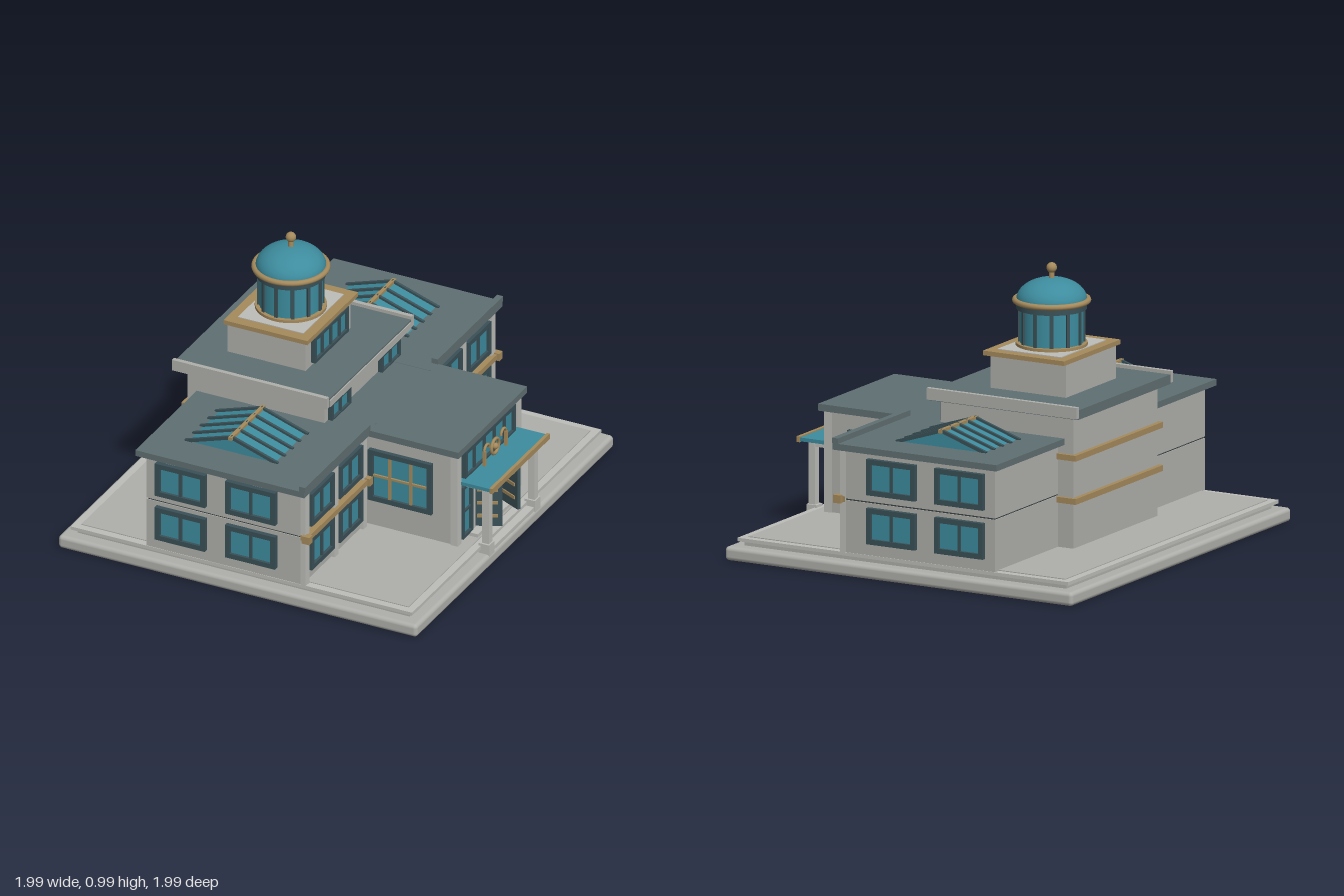
import * as THREE from 'three';
import { RoundedBoxGeometry } from 'three/addons/geometries/RoundedBoxGeometry.js';

const mat = (name, color, side = THREE.FrontSide) => {
  const m = new THREE.MeshStandardMaterial({ color, side });
  m.name = name;
  return m;
};

export function createModel() {
  const stone = mat('stone', 0xafafab);
  const pale = mat('pale stone', 0xbdbdb9);
  const roof = mat('slate roof', 0x5f6f71);
  const glass = mat('teal glass', 0x3d8c9e, THREE.DoubleSide);
  const frame = mat('dark frame', 0x3a5157);
  const gold = mat('gold trim', 0xa58a5c);
  const dark = mat('dark interior', 0x3a4345);

  const model = new THREE.Group();
  model.name = 'domedHall';
  const house = new THREE.Group();
  house.name = 'building';
  house.rotation.y = Math.PI / 4;
  model.add(house);

  const add = (parent, name, geo, m, x = 0, y = 0, z = 0) => {
    const mesh = new THREE.Mesh(geo, m);
    mesh.name = name;
    mesh.position.set(x, y, z);
    parent.add(mesh);
    return mesh;
  };
  // box given by its extents on each axis
  const box = (name, m, x0, x1, y0, y1, z0, z1, parent = house) =>
    add(parent, name, new THREE.BoxGeometry(x1 - x0, y1 - y0, z1 - z0), m, (x0 + x1) / 2, (y0 + y1) / 2, (z0 + z1) / 2);

  // framed window facing its own +z
  function windowUnit(name, x, y, z, w, h, { turn = 0, cols = 2, rows = 1, bar = frame, t = 0.018 } = {}) {
    const g = new THREE.Group();
    g.name = name;
    g.position.set(x, y, z);
    g.rotation.y = turn;
    house.add(g);
    const a = w / 2, b = h / 2;
    const s = new THREE.Shape([[-a, -b], [a, -b], [a, b], [-a, b]].map(p => new THREE.Vector2(...p)));
    s.holes.push(new THREE.Path([[-a + t, -b + t], [-a + t, b - t], [a - t, b - t], [a - t, -b + t]].map(p => new THREE.Vector2(...p))));
    add(g, 'windowFrame', new THREE.ExtrudeGeometry(s, { depth: 0.018, bevelEnabled: false }), frame, 0, 0, -0.003);
    box('windowPane', glass, -a + t / 2, a - t / 2, -b + t / 2, b - t / 2, -0.002, 0.005, g);
    for (let i = 1; i < cols; i++) {
      const c = -a + w * i / cols;
      box('mullion', bar, c - 0.005, c + 0.005, -b + t, b - t, 0, 0.013, g);
    }
    for (let i = 1; i < rows; i++) {
      const c = -b + h * i / rows;
      box('transomBar', bar, -a + t, a - t, c - 0.004, c + 0.004, 0, 0.012, g);
    }
    return g;
  }

  // stepped plinth
  add(house, 'baseSlab', new RoundedBoxGeometry(1.468, 0.048, 1.36, 3, 0.014), stone, 0, 0.024, 0);
  box('plinth', stone, -0.685, 0.685, 0.04, 0.064, -0.63, 0.63);
  box('plinthLip', pale, -0.702, 0.702, 0.064, 0.076, -0.647, 0.647);
  box('terrace', stone, -0.675, 0.675, 0.07, 0.079, -0.62, 0.62);

  // wings, mirrored left and right
  for (const s of [-1, 1]) {
    const span = (name, m, a, b, ...r) => box(name, m, Math.min(s * a, s * b), Math.max(s * a, s * b), ...r);
    span('wingLowerWall', stone, 0.2, 0.7, 0.07, 0.257, -0.36, 0.232);
    span('wingSeam', dark, 0.2, 0.697, 0.257, 0.262, -0.357, 0.229);
    span('wingUpperWall', stone, 0.2, 0.7, 0.262, 0.437, -0.36, 0.232);
    span('wingRoof', roof, 0.2, 0.735, 0.435, 0.457, -0.385, 0.255);
    span('wingParapet', roof, 0.25, 0.735, 0.457, 0.476, 0.235, 0.258);
    for (const x of [0.262, 0.475, 0.69])
      span('wingPilaster', pale, x - 0.014, x + 0.014, 0.07, 0.436, 0.225, 0.245);
    span('wingGoldBand', gold, 0.25, 0.705, 0.25, 0.27, 0.225, 0.256);
    for (const x of [0.255, 0.705])
      span('bandEnd', gold, x - 0.012, x + 0.012, 0.246, 0.274, 0.235, 0.265);
    for (const [y, h] of [[0.18, 0.125], [0.35, 0.125]]) {
      for (const x of [0.37, 0.58]) windowUnit('wingFrontWindow', s * x, y, 0.234, 0.17, h);
      for (const z of [-0.226, 0.04])
        windowUnit('wingSideWindow', s * 0.702, y, z, 0.19, h, { turn: s * Math.PI / 2 });
    }

    // gabled skylight
    const sky = new THREE.Group();
    sky.name = 'skylight';
    sky.position.set(s * 0.485, 0.455, -0.09);
    house.add(sky);
    const tri = new THREE.Shape([new THREE.Vector2(-0.17, 0), new THREE.Vector2(0.17, 0), new THREE.Vector2(0, 0.056)]);
    const g = new THREE.ExtrudeGeometry(tri, { depth: 0.225, bevelEnabled: false });
    g.translate(0, 0, -0.1125).rotateY(Math.PI / 2);
    add(sky, 'skylightGlass', g, glass);
    const slope = Math.atan2(0.056, 0.17);
    for (let i = 0; i < 5; i++)
      for (const d of [-1, 1]) {
        const bar = box('skylightBar', frame, -0.005, 0.005, -0.006, 0.006, -0.094, 0.094, sky);
        bar.position.set(-0.112 + i * 0.056, 0.03, d * 0.086);
        bar.rotation.x = d * slope;
      }
    box('skylightRidge', gold, -0.125, 0.125, 0.052, 0.064, -0.007, 0.007, sky);
  }

  // tall central block
  box('centreWall', stone, -0.28, 0.28, 0.07, 0.54, -0.42, 0.1);
  box('centreRoof', roof, -0.31, 0.31, 0.535, 0.568, -0.455, 0.128);
  for (const s of [-1, 1]) {
    box('centreParapet', stone, s * 0.315 - 0.008, s * 0.315 + 0.008, 0.54, 0.58, -0.457, 0.13);
    windowUnit('clerestoryWindow', s * 0.185, 0.488, 0.102, 0.14, 0.075, { t: 0.012 });
  }
  box('centreFrontEave', stone, -0.3, 0.3, 0.537, 0.562, 0.115, 0.132);
  for (const y of [0.235, 0.385]) box('rearGoldBand', gold, -0.292, 0.292, y, y + 0.02, -0.436, -0.3);

  // cupola base
  box('cupolaBase', stone, -0.167, 0.167, 0.565, 0.69, -0.325, -0.03);
  windowUnit('cupolaWindow', 0, 0.628, -0.029, 0.25, 0.096, { cols: 4, t: 0.012 });
  box('cupolaCornice', gold, -0.188, 0.188, 0.683, 0.699, -0.33, -0.012);
  box('cupolaDeck', pale, -0.15, 0.15, 0.69, 0.702, -0.295, -0.047);

  // glazed drum and dome
  const cupola = new THREE.Group();
  cupola.name = 'cupola';
  cupola.position.set(0, 0, -0.171);
  house.add(cupola);
  add(cupola, 'drumGlass', new THREE.CylinderGeometry(0.108, 0.108, 0.14, 40), glass, 0, 0.765, 0);
  const ring = (name, m, r, h, y) => add(cupola, name, new THREE.CylinderGeometry(r, r, h, 40), m, 0, y, 0);
  ring('drumFoot', gold, 0.122, 0.012, 0.706);
  ring('drumHead', frame, 0.12, 0.016, 0.836);
  for (let i = 0; i < 12; i++) {
    const a = i * Math.PI / 6;
    const bar = add(cupola, 'drumMullion', new THREE.BoxGeometry(0.012, 0.13, 0.012), frame, Math.sin(a) * 0.108, 0.765, Math.cos(a) * 0.108);
    bar.rotation.y = a;
  }
  add(cupola, 'domeRim', new THREE.TorusGeometry(0.124, 0.01, 10, 48).rotateX(Math.PI / 2), gold, 0, 0.857, 0);
  ring('domeSeat', frame, 0.122, 0.016, 0.85);
  const dome = add(cupola, 'dome', new THREE.SphereGeometry(0.12, 40, 14, 0, Math.PI * 2, 0, Math.PI / 2), glass, 0, 0.858, 0);
  dome.scale.y = 0.63;
  add(cupola, 'finialStem', new THREE.CylinderGeometry(0.008, 0.01, 0.04, 14), gold, 0, 0.948, 0);
  add(cupola, 'finialBall', new THREE.SphereGeometry(0.018, 18, 12), gold, 0, 0.968, 0);

  // entrance block with a recessed doorway
  box('entranceWallBack', stone, -0.23, 0.23, 0.07, 0.437, 0.09, 0.5);
  for (const s of [-1, 1]) {
    box('entranceWallSide', stone, s * 0.168 - 0.062, s * 0.168 + 0.062, 0.07, 0.3, 0.5, 0.57);
    box('entrancePilaster', pale, s * 0.222 - 0.014, s * 0.222 + 0.014, 0.07, 0.436, 0.555, 0.582);
    windowUnit('entranceSideWindow', s * 0.165, 0.19, 0.571, 0.075, 0.2, { cols: 1, rows: 2, t: 0.012 });
    windowUnit('entranceFlankWindow', s * 0.231, 0.278, 0.366, 0.24, 0.195, { turn: s * Math.PI / 2, cols: 3, rows: 2, bar: gold });
  }
  box('entranceLintel', stone, -0.23, 0.23, 0.295, 0.437, 0.5, 0.57);
  box('doorwayDark', dark, -0.106, 0.106, 0.08, 0.295, 0.5, 0.506);
  box('entranceRoof', roof, -0.255, 0.255, 0.432, 0.456, 0.1, 0.594);
  windowUnit('entranceTransom', 0, 0.367, 0.572, 0.37, 0.11, { cols: 5, t: 0.014 });

  // gold ornament above the canopy
  const torus = (name, r, t, x, y, arc = Math.PI * 2) =>
    add(house, name, new THREE.TorusGeometry(r, t, 8, 24, arc), gold, x, y, 0.603);
  torus('ornamentRing', 0.027, 0.006, 0, 0.357);
  add(house, 'ornamentBoss', new THREE.SphereGeometry(0.012, 14, 10), gold, 0, 0.357, 0.603);
  for (const s of [-1, 1]) {
    torus('ornamentScroll', 0.018, 0.005, s * 0.062, 0.375, Math.PI);
    box('ornamentStem', gold, s * 0.08 - 0.005, s * 0.08 + 0.005, 0.32, 0.376, 0.598, 0.608);
  }

  // canopy on posts
  box('canopyGlass', glass, -0.21, 0.21, 0.305, 0.318, 0.565, 0.695);
  box('canopyGoldEdge', gold, -0.213, 0.213, 0.302, 0.322, 0.69, 0.702);
  box('canopyBeam', pale, -0.185, 0.185, 0.283, 0.304, 0.648, 0.672);
  for (const s of [-1, 1]) {
    box('canopyPost', pale, s * 0.17 - 0.013, s * 0.17 + 0.013, 0.04, 0.29, 0.647, 0.673);
    box('postFoot', pale, s * 0.17 - 0.02, s * 0.17 + 0.02, 0.04, 0.085, 0.638, 0.678);
    box('canopySideBeam', pale, s * 0.17 - 0.01, s * 0.17 + 0.01, 0.285, 0.304, 0.56, 0.66);

    // open door leaf hinged at the jamb
    const door = new THREE.Group();
    door.name = 'doorLeaf';
    door.position.set(s * 0.104, 0.095, 0.572);
    door.rotation.y = s * 1.13;
    house.add(door);
    const x0 = Math.min(0, -s * 0.1), x1 = x0 + 0.1;
    box('doorPanel', frame, x0, x1, 0, 0.18, -0.006, 0.006, door);
    for (const y of [0.035, 0.085, 0.135])
      box('doorGoldBar', gold, x0 + 0.015, x1 - 0.015, y, y + 0.012, -0.01, 0.01, door);
    box('doorJamb', pale, s * 0.11 - 0.008, s * 0.11 + 0.008, 0.08, 0.295, 0.55, 0.583);
  }
  box('doorHead', pale, -0.118, 0.118, 0.28, 0.298, 0.55, 0.583);

  // entrance steps
  for (let i = 0; i < 3; i++)
    box('entranceStep', pale, -0.15, 0.15, 0.04, 0.06 + i * 0.016, 0.5, 0.674 - i * 0.03);

  return model;
}
